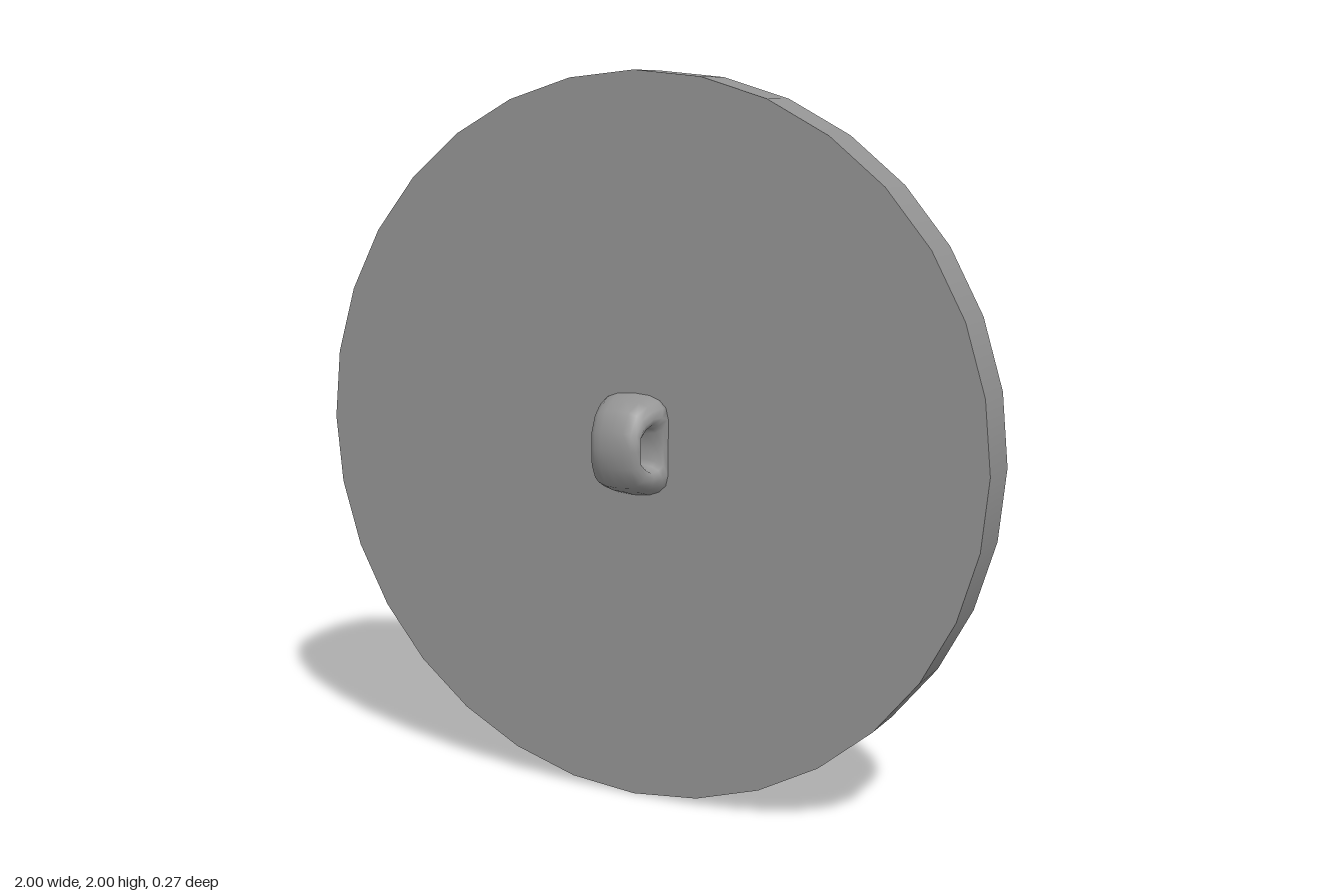
import * as THREE from 'three';

const FRONT = 0.008, BACK = -0.136;

// Ring around the x axis: each pair is [inner z, inner y, outer z, outer y]
function shankGeometry() {
  const half = [
    [0.093, 0, 0.135, 0],
    [0.093, 0.034, 0.134, 0.05],
    [0.076, 0.046, 0.104, 0.105],
    [0.057, 0.055, 0.055, 0.126],
    [0.04, 0.046, 0.008, 0.141],
    [0.025, 0.034, -0.02, 0.145],
    [0.025, 0, -0.02, 0],
  ];
  const mirrored = half.slice(1, -1).reverse().map(([a, b, c, d]) => [a, -b, c, -d]);
  const pairs = [...half, ...mirrored];
  const K = 16;
  const soft = (v) => Math.sign(v) * Math.pow(Math.abs(v), 0.8);
  // half width: tapers from the base towards the crown
  const width = (z) => 0.072 + 0.037 * Math.pow(1 - THREE.MathUtils.clamp(z / 0.13, 0, 1), 1.5);

  const positions = [], index = [];
  pairs.forEach(([iz, iy, oz, oy], i) => {
    for (let k = 0; k < K; k++) {
      const a = (k / K) * Math.PI * 2;
      // widest point sits close to the bore, giving it a rounded mouth
      const t = Math.pow(0.5 - 0.5 * soft(Math.cos(a)), 1.4);
      const z = iz + (oz - iz) * t;
      positions.push(width(z) * soft(Math.sin(a)), 1 + iy + (oy - iy) * t, z);
      const i2 = (i + 1) % pairs.length, k2 = (k + 1) % K;
      const p = i * K + k, q = i2 * K + k, r = i2 * K + k2, s = i * K + k2;
      index.push(p, q, r, p, r, s);
    }
  });
  const geo = new THREE.BufferGeometry();
  geo.setAttribute('position', new THREE.Float32BufferAttribute(positions, 3));
  geo.setIndex(index);
  geo.computeVertexNormals();
  return geo;
}

export function createModel() {
  const group = new THREE.Group();
  const material = new THREE.MeshStandardMaterial({ color: 0x939393 });

  // Flat round plate standing upright
  const disc = new THREE.CylinderGeometry(1, 1, FRONT - BACK, 32);
  disc.rotateX(Math.PI / 2);
  disc.translate(0, 1, (FRONT + BACK) / 2);
  const plate = new THREE.Mesh(disc, material);
  plate.name = 'disc';

  // Pierced loop on the front face
  const shank = new THREE.Mesh(shankGeometry(), material);
  shank.name = 'shankLoop';

  group.add(plate, shank);
  return group;
}
